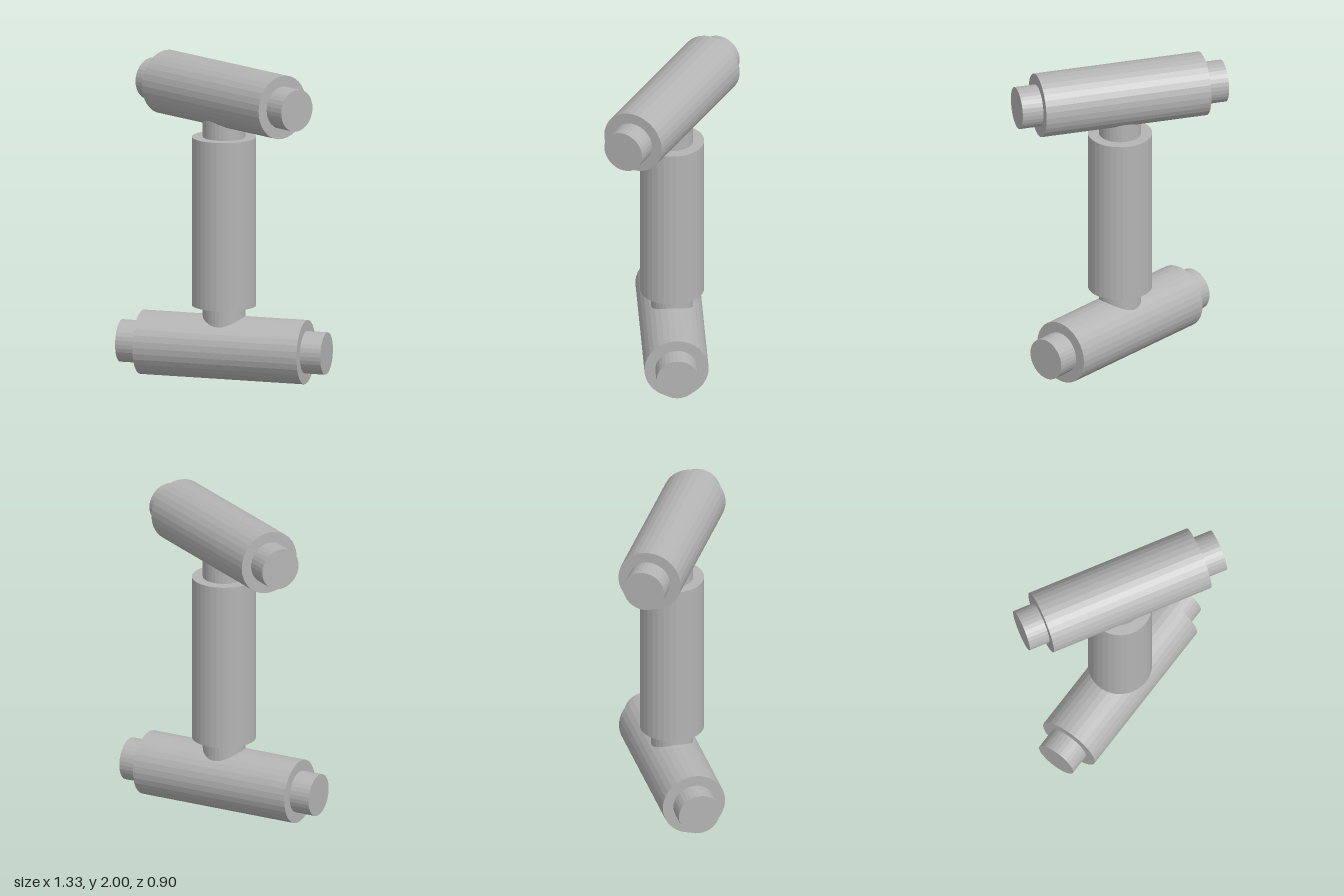
import * as THREE from 'three';

const SIDES = 32;
const SLEEVE = { radius: 0.2, length: 1.066 };
const PIN = { radius: 0.132, length: 1.333 };

export function createModel() {
  const model = new THREE.Group();
  model.name = 'jointedRods';
  const grey = new THREE.MeshStandardMaterial({ color: 0xb4b4b4, flatShading: true });
  grey.name = 'grey';

  // A rod is a thick sleeve with a thinner pin showing at both ends; it lies along x
  function rod(name, y) {
    const group = new THREE.Group();
    group.name = name;
    for (const [part, size] of [['Sleeve', SLEEVE], ['Pin', PIN]]) {
      const geometry = new THREE.CylinderGeometry(size.radius, size.radius, size.length, SIDES);
      geometry.rotateZ(Math.PI / 2);
      const mesh = new THREE.Mesh(geometry, grey);
      mesh.name = name + part;
      group.add(mesh);
    }
    group.position.y = y;
    model.add(group);
    return group;
  }

  // Top bar, upright post, and bottom bar turned 30 degrees
  rod('topBar', 1.8);
  rod('post', 1.0).rotation.z = Math.PI / 2;
  rod('bottomBar', 0.2).rotation.y = Math.PI / 6;

  return model;
}
